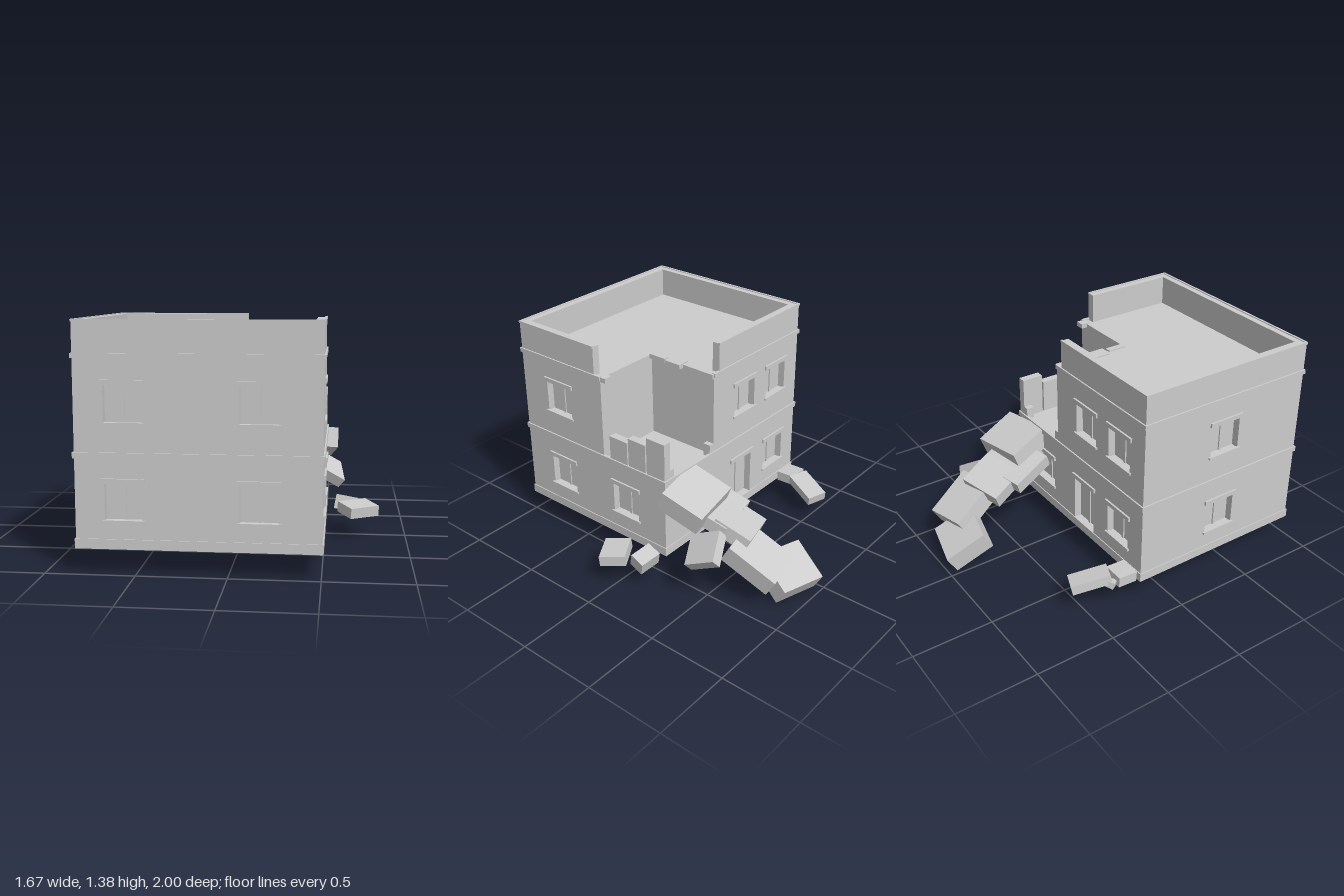
import * as THREE from 'three';

const concrete = new THREE.MeshStandardMaterial({ color: 0xcccccc, flatShading: true });
concrete.name = 'concrete';

const T = 0.05; // wall thickness
const X0 = -0.825, X1 = 0.505, Z0 = -0.18, Z1 = 0.985; // outer faces
const GROUND = 0.155, FLOOR = 0.66, ROOF = 1.2, TOP = 1.385;
const CUT_X = 0.05, CUT_Z = 0.31; // limits of the collapsed corner

function add(parent, name, geometry) {
  const mesh = new THREE.Mesh(geometry, concrete);
  mesh.name = name;
  parent.add(mesh);
  return mesh;
}

// Box given by its minimum and maximum on each axis
function block(parent, name, x0, x1, y0, y1, z0, z1) {
  const mesh = add(parent, name, new THREE.BoxGeometry(x1 - x0, y1 - y0, z1 - z0));
  mesh.position.set((x0 + x1) / 2, (y0 + y1) / 2, (z0 + z1) / 2);
  return mesh;
}

// Wall panel with recessed openings, outer face on local z = 0
function wall(facade, u0, u1, y0, y1, openings) {
  const shape = new THREE.Shape();
  shape.moveTo(u0, y0).lineTo(u1, y0).lineTo(u1, y1).lineTo(u0, y1).closePath();
  for (const [u, bottom, top] of openings) {
    const hole = new THREE.Path();
    hole.moveTo(u - 0.103, bottom).lineTo(u - 0.103, top);
    hole.lineTo(u + 0.103, top).lineTo(u + 0.103, bottom).closePath();
    shape.holes.push(hole);
  }
  const geometry = new THREE.ExtrudeGeometry(shape, { depth: T, bevelEnabled: false });
  geometry.translate(0, 0, -T);
  add(facade, 'wall', geometry);
  for (const [u, bottom, top, isDoor] of openings) {
    block(facade, 'pane', u - 0.105, u + 0.105, bottom - 0.002, top + 0.002, -T - 0.004, -T + 0.004);
    block(facade, 'mullion', u - 0.007, u + 0.007, bottom, top, -T + 0.004, -T + 0.012);
    block(facade, 'lintel', u - 0.118, u + 0.118, top, top + 0.027, -0.01, 0.012);
    if (!isDoor) block(facade, 'sill', u - 0.116, u + 0.116, bottom - 0.008, bottom + 0.005, -0.01, 0.012);
  }
}

function facade(parent, name, x, z, angle) {
  const group = new THREE.Group();
  group.name = name;
  group.position.set(x, 0, z);
  group.rotation.y = angle;
  parent.add(group);
  return group;
}

const low = (u) => [u, 0.31, 0.515];
const high = (u) => [u, 0.84, 1.045];

export function createModel() {
  const model = new THREE.Group();
  model.name = 'ruinedBuilding';

  // Outer walls
  const front = facade(model, 'frontFacade', 0, Z1, 0);
  wall(front, X0, X1, GROUND, FLOOR, [low(-0.56), low(0.168)]);
  wall(front, X0, X1, FLOOR, ROOF, [high(-0.56), high(0.168)]);

  const left = facade(model, 'leftSideFacade', X0, 0, -Math.PI / 2);
  wall(left, Z0 + T, Z1 - T, GROUND, FLOOR, [low(0.4)]);
  wall(left, Z0 + T, Z1 - T, FLOOR, ROOF, [high(0.4)]);

  const right = facade(model, 'rightSideFacade', X1, 0, Math.PI / 2);
  wall(right, -Z1 + T, -Z0 - T, GROUND, FLOOR, [low(-0.675), low(-0.138)]);
  wall(right, -Z1 + T, -CUT_Z, FLOOR, ROOF, [high(-0.675)]);

  const back = facade(model, 'backFacade', 0, Z0, Math.PI);
  wall(back, -X1, -X0, GROUND, FLOOR, [low(0.59), [0.24, 0.21, 0.515, true], low(-0.2)]);
  wall(back, -CUT_X, -X0, FLOOR, ROOF, [high(0.59), high(0.26)]);

  // Inner walls exposed by the collapse
  block(model, 'innerSideWall', CUT_X - T, CUT_X, FLOOR, ROOF - 0.02, Z0 + T, CUT_Z + T);
  block(model, 'innerCrossWall', CUT_X, X1 - T, FLOOR, ROOF - 0.02, CUT_Z, CUT_Z + T);

  // Floor and roof slabs
  block(model, 'floorSlab', X0 + T, X1 - T, 0.62, FLOOR, Z0 + T, Z1 - T);
  block(model, 'roofSlab', X0 + T, CUT_X, ROOF - 0.035, ROOF, Z0 + T, Z1 - T);
  block(model, 'roofSlab', CUT_X, X1 - T, ROOF - 0.035, ROOF, CUT_Z, Z1 - T);

  // Parapet
  block(model, 'frontParapet', X0, X1, ROOF, TOP, Z1 - T, Z1);
  block(model, 'leftParapet', X0, X0 + T, ROOF, TOP, Z0 + T, Z1 - T);
  block(model, 'rightParapet', X1 - T, X1, ROOF, TOP, 0.36, Z1 - T);
  block(model, 'backParapet', X0, 0, ROOF, TOP, Z0, Z0 + T);

  // Projecting bands: bottom, top, overhang, end of the back run, end of the right run
  const bands = [
    ['plinth', GROUND, 0.21, 0.006, X1, Z0],
    ['floorBand', 0.65, 0.683, 0.009, X1, Z0],
    ['roofBand', 1.185, 1.212, 0.009, CUT_X, CUT_Z],
    ['coping', 1.375, 1.39, 0.004, 0, 0.36],
  ];
  for (const [name, y0, y1, o, backEnd, rightEnd] of bands) {
    block(model, name, X0 - o, X1 + o, y0, y1, Z1 - 0.01, Z1 + o);
    block(model, name, X0 - o, X0 + 0.01, y0, y1, Z0 - o, Z1);
    block(model, name, X1 - 0.01, X1 + o, y0, y1, rightEnd - (rightEnd === Z0 ? o : 0), Z1);
    block(model, name, X0, backEnd, y0, y1, Z0 - o, Z0 + 0.01);
  }

  // Broken wall stumps around the open corner
  const stumps = [
    [X1 - T, X1, 0.925, Z0, -0.04],
    [X1 - T, X1, 0.87, -0.03, 0.105],
    [X1 - T, X1, 0.835, 0.115, 0.255],
    [0.42, X1 - T, 0.735, Z0, Z0 + T],
    [CUT_X, 0.085, 0.74, Z0, Z0 + T],
  ];
  for (const [x0, x1, top, z0, z1] of stumps) block(model, 'wallStump', x0, x1, FLOOR, top, z0, z1);

  // Loose bricks along the torn roof edge
  const bricks = [
    [0, 0.083, 0.06, 0.175], [0.02, 0.065, -0.18, -0.07],
    [0.03, 0.07, 0.19, 0.31], [0.45, 0.505, 0.27, 0.33],
  ];
  for (const [x0, x1, z0, z1] of bricks) block(model, 'roofBrick', x0, x1, 1.178, 1.208, z0, z1);

  // Fallen rubble: centre, size, turn (y), pitch (x), roll (z)
  const rubble = [
    [0.38, 0.56, -0.30, 0.35, 0.13, 0.28, 0.18, -0.36, -0.08],
    [0.27, 0.47, -0.38, 0.36, 0.08, 0.28, 0.22, -0.35, 0.05],
    [0.26, 0.41, -0.54, 0.29, 0.09, 0.24, 0.25, -0.4, 0.1],
    [0.31, 0.28, -0.72, 0.27, 0.12, 0.33, 0.25, -0.52, -0.1],
    [0.15, 0.145, -0.83, 0.31, 0.12, 0.27, -0.27, -0.52, 0.1],
    [0.51, 0.34, -0.49, 0.2, 0.07, 0.21, 0.15, 0.45, -0.6],
    [0.635, 0.18, -0.125, 0.14, 0.09, 0.1, -0.08, -0.3, -0.15],
    [0.705, 0.19, 0.05, 0.2, 0.065, 0.16, 0.55, 0.1, 0],
    [-0.73, 0.18, -0.25, 0.135, 0.065, 0.125, 0, 0.05, 0],
    [-0.665, 0.175, -0.43, 0.13, 0.06, 0.24, -0.39, -0.2, -0.1],
    [-0.755, 0.17, -0.345, 0.06, 0.04, 0.05, 0.6, 0.2, 0.2],
  ];
  for (const [x, y, z, w, h, d, turn, pitch, roll] of rubble) {
    const chunk = add(model, 'rubbleChunk', new THREE.BoxGeometry(w, h, d));
    chunk.position.set(x, y, z);
    chunk.rotation.set(pitch, turn, roll, 'YXZ');
  }
  return model;
}
